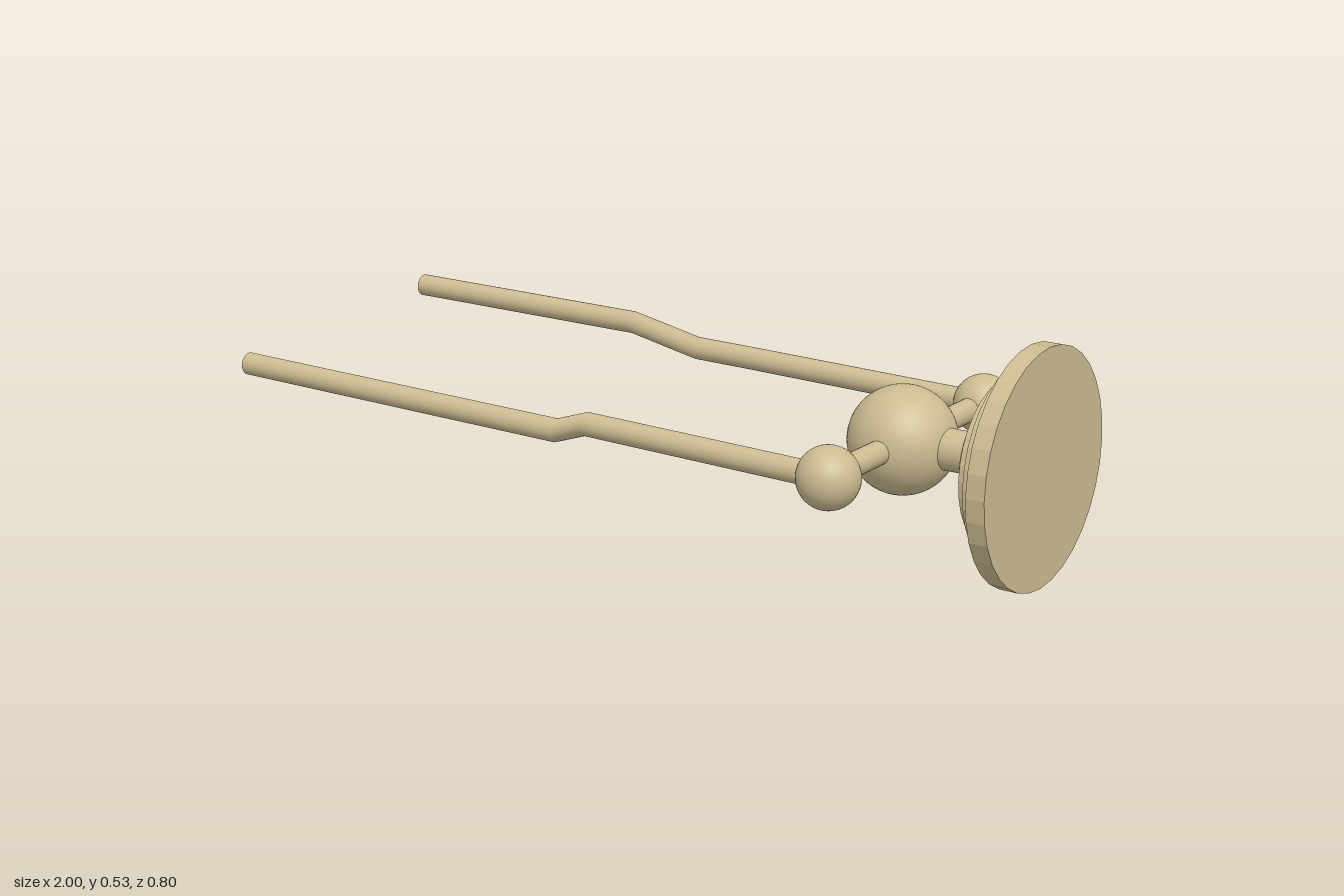
import * as THREE from 'three';

const sand = new THREE.MeshStandardMaterial({ color: 0xcdbc92 });
sand.name = 'sand';

export function createModel() {
  const model = new THREE.Group();
  model.name = 'doubleRodFixture';

  const add = (name, geometry, x = 0, y = 0, z = 0) => {
    const mesh = new THREE.Mesh(geometry, sand);
    mesh.name = name;
    mesh.position.set(x, y, z);
    model.add(mesh);
  };

  // Cylinder lying along x between two x positions
  const cylinderX = (r, x0, x1, sides) =>
    new THREE.CylinderGeometry(r, r, x1 - x0, sides).rotateZ(-Math.PI / 2).translate((x0 + x1) / 2, 0, 0);

  // Bent rod: one ring of a cylinder at each path point
  const bentRod = (points, r) => {
    const n = points.length - 1;
    const g = new THREE.CylinderGeometry(r, r, n, 24, n).rotateZ(-Math.PI / 2);
    const pos = g.attributes.position;
    for (let i = 0; i < pos.count; i++) {
      const p = points[Math.round(pos.getX(i) + n / 2)];
      pos.setXYZ(i, p[0], p[1] + pos.getY(i), p[2] + pos.getZ(i));
    }
    return g;
  };

  // Stepped round base with faceted rims
  const steps = [[0.118, 0.861, 0.893], [0.178, 0.893, 0.925], [0.219, 0.925, 0.957], [0.264, 0.957, 1]];
  steps.forEach(([r, x0, x1], i) => {
    const g = cylinderX(r, x0, x1, 32).toNonIndexed();
    g.computeVertexNormals();
    add(`baseStep${i + 1}`, g, 0, 0.265, 0.015);
  });

  // Stem and central ball
  add('stem', cylinderX(0.046, 0.66, 0.87, 32), 0, 0.266, 0.01);
  add('centreBall', new THREE.SphereGeometry(0.121, 48, 32), 0.655, 0.268, 0.01);

  // Crossbar with a ball at each end
  add('crossbar', new THREE.CylinderGeometry(0.027, 0.027, 0.664, 24).rotateX(Math.PI / 2), 0.662, 0.268, 0);
  for (const side of [1, -1]) {
    add(side > 0 ? 'frontBall' : 'backBall', new THREE.SphereGeometry(0.069, 40, 28), 0.666, 0.268, side * 0.331);
  }

  // Long rods, one dipping and one rising
  add('frontRod', bentRod([[-1, 0.238, 0.298], [-0.055, 0.238, 0.311], [0.03, 0.268, 0.313], [0.666, 0.268, 0.332]], 0.027));
  add('backRod', bentRod([[-1, 0.304, -0.357], [-0.325, 0.304, -0.357], [-0.135, 0.268, -0.357], [0, 0.268, -0.355], [0.666, 0.268, -0.332]], 0.027));

  return model;
}
